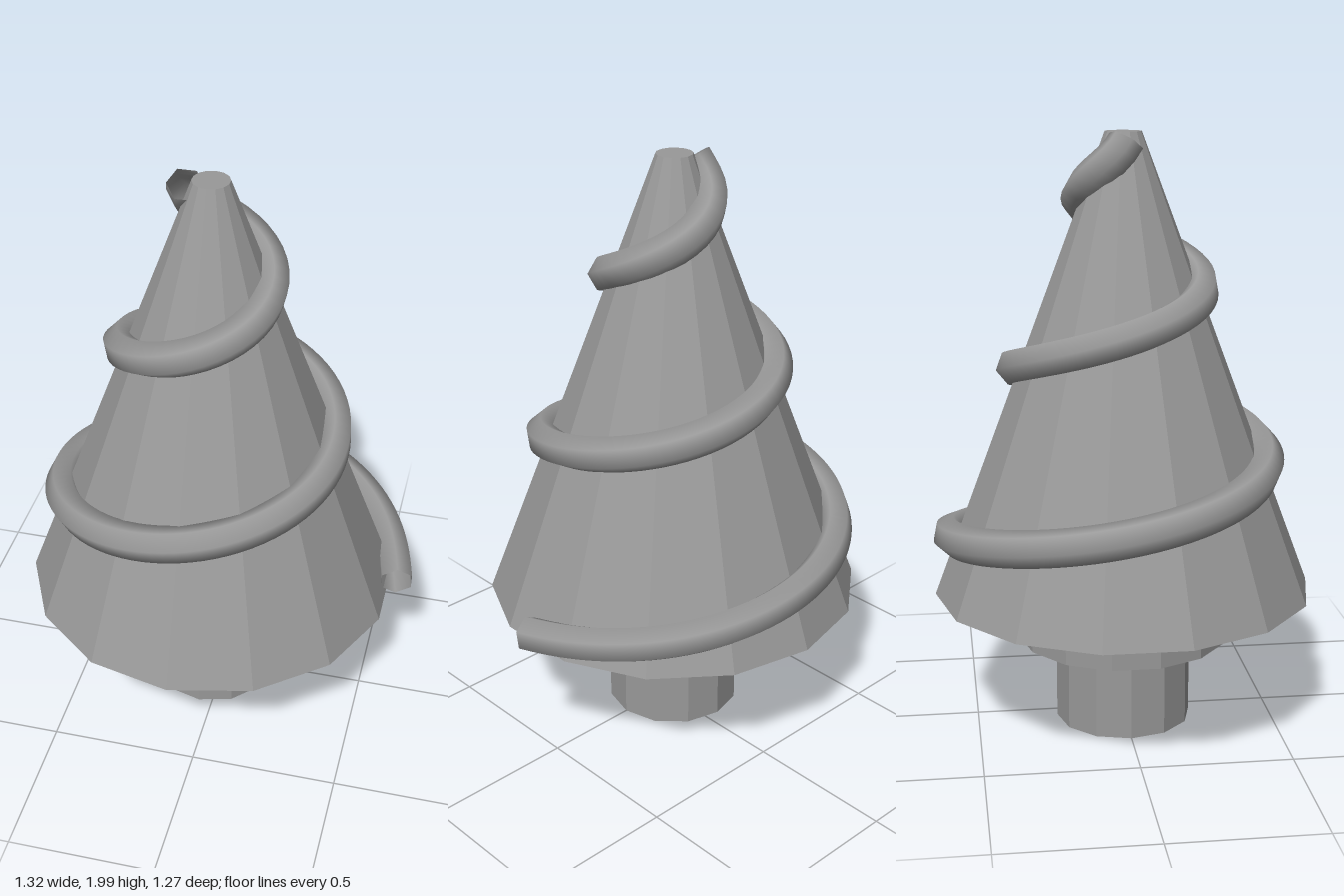
import * as THREE from 'three';

const TURNS = 2.5;

// Helix that winds up and inward around the cone, flaring slightly at both ends
class ConicalHelix extends THREE.Curve {
  getPoint(t, target = new THREE.Vector3()) {
    const turn = TURNS * t;
    const angle = turn * Math.PI * 2;
    const radius = 0.634 - 0.222 * turn + 0.02 * Math.exp(-turn / 0.03);
    const height = 0.515 + 0.572 * turn + 0.014 * Math.exp((turn - TURNS) / 0.05);
    return target.set(radius * Math.cos(angle), height, -radius * Math.sin(angle));
  }
}

export function createModel() {
  const model = new THREE.Group();
  const steel = new THREE.MeshStandardMaterial({ color: 0x999999, flatShading: true });
  const yellow = new THREE.MeshStandardMaterial({ color: 0xffff88, flatShading: true });
  const threadMaterial = new THREE.MeshStandardMaterial({ color: 0x999999, side: THREE.DoubleSide });

  // Faceted round part between two heights
  function addRound(name, bottomRadius, topRadius, y0, y1, sides, material) {
    const mesh = new THREE.Mesh(
      new THREE.CylinderGeometry(topRadius, bottomRadius, y1 - y0, sides), material);
    mesh.position.y = (y0 + y1) / 2;
    mesh.name = name;
    model.add(mesh);
  }

  addRound('shaft', 0.229, 0.229, 0, 0.293, 12, steel);
  addRound('flange', 0.357, 0.357, 0.293, 0.381, 14, steel);
  addRound('yellowCollar', 0.255, 0.255, 0.39, 0.447, 14, yellow);
  addRound('drillCone', 0.635, 0.06, 0.458, 1.985, 14, steel);

  // Spiral thread: an open six-sided tube with smooth normals
  const thread = new THREE.Mesh(
    new THREE.TubeGeometry(new ConicalHelix(), 160, 0.06, 6, false), threadMaterial);
  thread.name = 'spiralThread';
  model.add(thread);

  // The thread's start sticks out on one side, so the axis sits off centre
  model.position.x = -0.048;
  const root = new THREE.Group();
  root.name = 'drill';
  root.add(model);
  return root;
}
